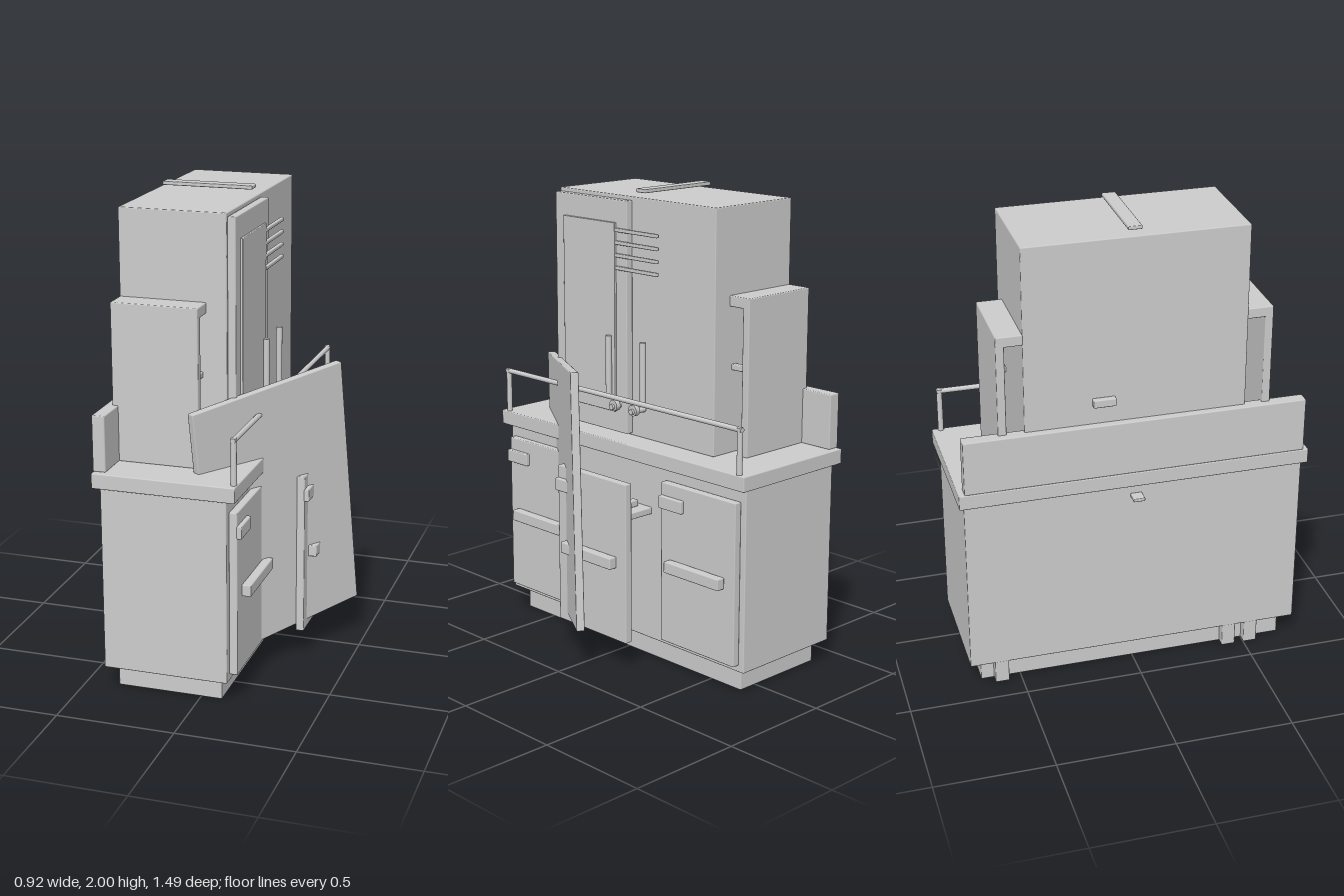
import * as THREE from 'three';
import { RoundedBoxGeometry } from 'three/addons/geometries/RoundedBoxGeometry.js';

export function createModel() {
  const model = new THREE.Group();
  model.name = 'dresserCabinet';
  const grey = new THREE.MeshStandardMaterial({ color: 0xcccccc });
  grey.name = 'plain grey';

  // box given by its limits on each axis, with softened edges
  function box(name, x0, x1, y0, y1, z0, z1, parent = model) {
    const s = [x1 - x0, y1 - y0, z1 - z0];
    const r = Math.min(0.005, Math.min(...s) * 0.25);
    const m = new THREE.Mesh(new RoundedBoxGeometry(...s, 1, r), grey);
    m.position.set((x0 + x1) / 2, (y0 + y1) / 2, (z0 + z1) / 2);
    m.name = name;
    parent.add(m);
    return m;
  }
  function rod(name, r, length, axis, x, y, z, parent = model) {
    const m = new THREE.Mesh(new THREE.CylinderGeometry(r, r, length, 16), grey);
    if (axis === 'x') m.rotation.z = Math.PI / 2;
    if (axis === 'z') m.rotation.x = Math.PI / 2;
    m.position.set(x, y, z);
    m.name = name;
    parent.add(m);
    return m;
  }

  // base cabinet, worktop and backsplash
  box('plinth', -0.36, 0.09, 0, 0.1, -0.67, 0.67);
  for (const z of [0.53, 0.43, -0.585]) box('rearFoot', -0.4, -0.355, 0, 0.105, z - 0.03, z + 0.03);
  box('baseCabinet', -0.4, 0.13, 0.1, 0.89, -0.72, 0.725);
  box('worktop', -0.43, 0.17, 0.885, 0.95, -0.743, 0.743);
  box('backsplash', -0.43, -0.375, 0.95, 1.185, -0.72, 0.72);

  // three lower fronts, the middle one pulled out
  [[0.485, 0.13], [0, 0.27], [-0.485, 0.13]].forEach(([z, x]) => {
    box('lowerDoor', x, x + 0.035, 0.13, 0.83, z - 0.21, z + 0.21);
    box('lowerHandle', x + 0.035, x + 0.075, 0.455, 0.505, z - 0.155, z + 0.155);
    box('labelHolder', x + 0.03, x + 0.053, 0.72, 0.775, z + 0.078, z + 0.21);
  });
  box('pullOutTray', 0.12, 0.275, 0.66, 0.69, -0.185, 0.188);
  box('trayItem', 0.16, 0.21, 0.69, 0.72, -0.135, -0.105);
  box('trayItem', 0.16, 0.245, 0.69, 0.72, -0.052, -0.024);
  box('trayItem', 0.185, 0.26, 0.69, 0.72, 0.062, 0.098);

  // upper cabinet with top and rear fittings
  box('upperCabinet', -0.4, 0.05, 0.95, 1.97, -0.463, 0.463);
  box('topBar', -0.372, 0.018, 1.984, 2, -0.03, 0.027);
  box('rearBox', -0.428, -0.4, 1.265, 1.3, -0.185, -0.09);
  box('rearTab', -0.455, -0.4, 0.825, 0.84, -0.025, 0.025);

  // closed upper door
  box('upperDoor', 0.05, 0.085, 0.96, 1.955, 0.012, 0.455);
  box('upperDoorPanel', 0.083, 0.095, 1.05, 1.86, 0.075, 0.395);
  rod('upperHandle', 0.013, 0.27, 'y', 0.105, 1.245, 0.103);

  // ajar upper door, swung out at its far end
  const ajar = new THREE.Group();
  ajar.name = 'ajarDoor';
  ajar.position.set(0.031, 0, -0.016);
  ajar.rotation.y = 0.17;
  box('upperDoor', -0.0175, 0.0175, 0.96, 1.955, -0.442, 0, ajar);
  box('upperDoorPanel', 0.016, 0.026, 1.05, 1.86, -0.38, -0.06, ajar);
  model.add(ajar);
  rod('upperHandle', 0.013, 0.27, 'y', 0.1, 1.245, -0.1);

  // knobs and vent bars
  for (const z of [0.058, -0.062]) {
    rod('knobStem', 0.012, 0.08, 'x', 0.095, 1.08, z);
    rod('knob', 0.024, 0.022, 'x', 0.113, 1.085, z);
  }
  for (let i = 0; i < 4; i++) {
    const y = 1.83 - i * 0.053;
    box('ventBar', 0.08, 0.096, y - 0.008, y + 0.008, -0.175, 0.075);
  }

  // open side niches
  for (const s of [1, -1]) {
    const span = (a, b) => (s > 0 ? [a, b] : [-b, -a]);
    box('nicheSide', -0.4, -0.035, 0.95, 1.61, ...span(0.535, 0.57));
    box('nicheTop', -0.4, -0.035, 1.565, 1.61, ...span(0.46, 0.57));
    box('nicheBar', -0.08, -0.05, 1.3, 1.325, ...span(0.46, 0.52));
  }

  // front rail
  rod('railBar', 0.011, 1.435, 'z', 0.155, 1.134, 0);
  for (const z of [0.705, -0.705]) rod('railPost', 0.012, 0.2, 'y', 0.155, 1.043, z);

  // tilted loose board
  const board = box('tiltedBoard', -0.389, 0.389, -0.547, 0.547, -0.0175, 0.0175);
  board.position.set(0.205, 0.698, 0.275);
  board.rotation.set(0, 0.974, 0.106, 'YXZ');

  return model;
}
